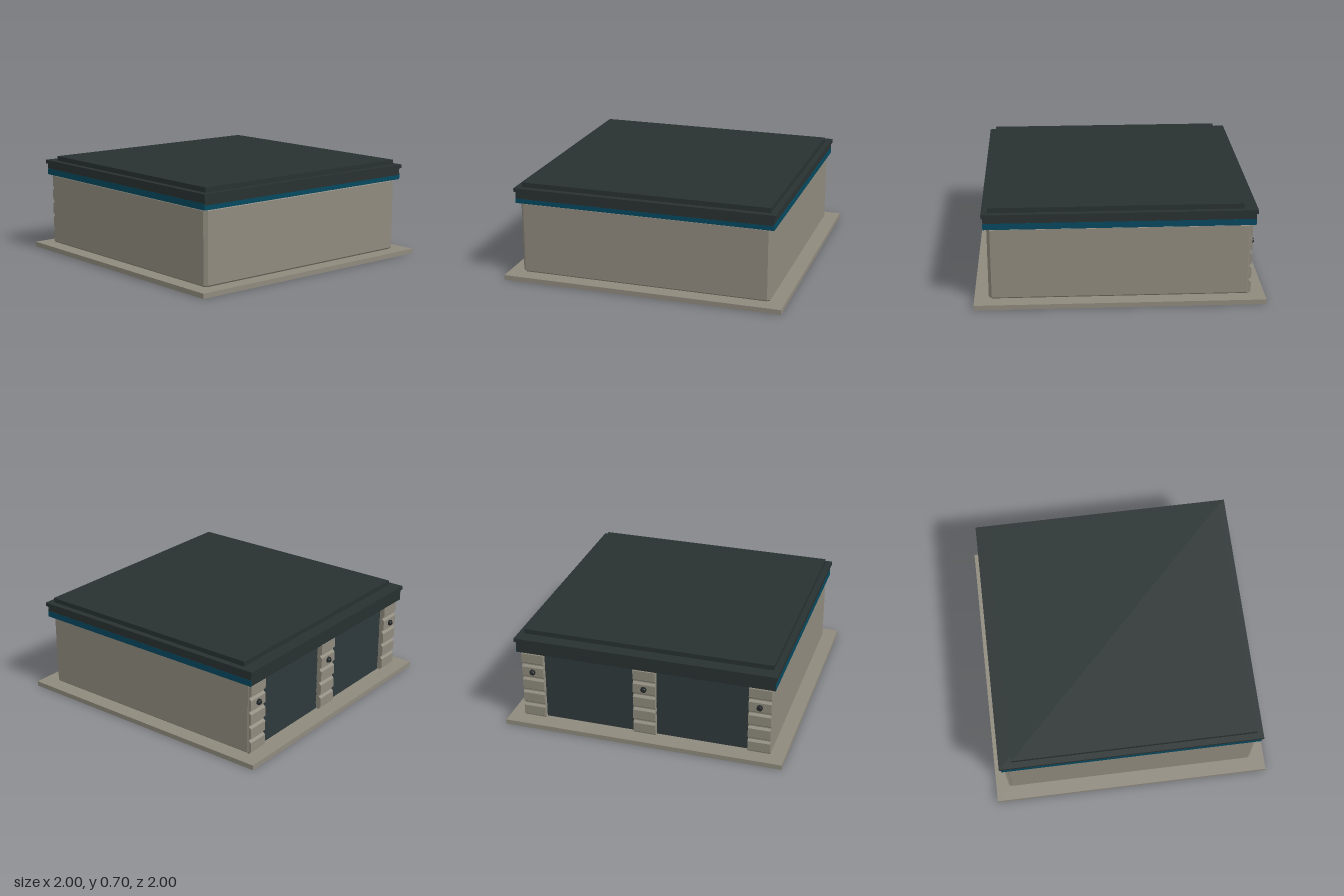
import * as THREE from 'three';

function flat(name, color) {
  const material = new THREE.MeshStandardMaterial({ color });
  material.name = name;
  return material;
}
const stone = flat('stone', 0x8f8a7d);
const roofDark = flat('dark roof', 0x283130);
const doorDark = flat('dark shutter', 0x2c3739);
const blue = flat('blue stripe', 0x04485f);
const lampDark = flat('lamp metal', 0x25292a);

function add(parent, name, geometry, material, x = 0, y = 0, z = 0) {
  const mesh = new THREE.Mesh(geometry, material);
  mesh.name = name;
  mesh.position.set(x, y, z);
  parent.add(mesh);
  return mesh;
}

// Box given by its limits on each axis
function boxBetween(parent, name, material, [x0, x1], [y0, y1], [z0, z1]) {
  return add(parent, name, new THREE.BoxGeometry(x1 - x0, y1 - y0, z1 - z0), material,
    (x0 + x1) / 2, (y0 + y1) / 2, (z0 + z1) / 2);
}

const shapeOf = (points) => new THREE.Shape(points.map(([x, y]) => new THREE.Vector2(x, y)));

const FLOOR = 0.035, EAVES = 0.557, HEIGHT = EAVES - FLOOR;
const FRONT = -0.888, RECESS = -0.86;      // pillar face and door plane on the -x side
const DOOR_IN = 0.08, DOOR_OUT = 0.738;    // z limits of each doorway

// Wall footprint with cut corners and two door recesses, bevelled at top and bottom
function wallGeometry() {
  const b = 0.012, c = 0.014, e = 0.9 - b, f = FRONT + b, r = RECESS + b;
  const half = [[f, DOOR_IN - b], [r, DOOR_IN - b], [r, DOOR_OUT + b], [f, DOOR_OUT + b],
    [f, e - 0.002], [f + 0.002, e], [e - c, e], [e, e - c]];
  const mirrored = half.map(([x, z]) => [x, -z]).reverse();
  const g = new THREE.ExtrudeGeometry(shapeOf([...half, ...mirrored]), {
    depth: HEIGHT - 2 * b, bevelEnabled: true, bevelSize: b, bevelThickness: b, bevelSegments: 1,
  });
  g.rotateX(-Math.PI / 2);
  g.translate(0, b, 0);
  return g;
}

// Stacked, bevelled stone courses as one side profile, swept along z
function coursesGeometry(width, count) {
  const h = HEIGHT / count, out = -0.904;
  const points = [[FRONT + 0.01, HEIGHT], [FRONT + 0.01, 0]];
  for (let i = 0; i < count; i++) {
    const y = i * h;
    points.push([FRONT, y], [FRONT, y + 0.004], [out, y + 0.018],
      [out, y + h - 0.018], [FRONT, y + h - 0.004]);
  }
  points.push([FRONT, HEIGHT]);
  const g = new THREE.ExtrudeGeometry(shapeOf(points), { depth: width, bevelEnabled: false });
  g.translate(0, 0, -width / 2);
  return g;
}

export function createModel() {
  const model = new THREE.Group();
  model.name = 'garage';

  // Ground slab and main walls
  boxBetween(model, 'slab', stone, [-1, 1], [0, FLOOR], [-1, 1]);
  add(model, 'walls', wallGeometry(), stone, 0, FLOOR, 0);

  // Stone courses on the three pillars of the door side, each with a lamp
  const outerWidth = 0.896 - DOOR_OUT;
  for (const [z, width] of [[-0.817, outerWidth], [0, 2 * DOOR_IN], [0.817, outerWidth]]) {
    const pillar = new THREE.Group();
    pillar.name = 'pillar';
    pillar.position.z = z;
    model.add(pillar);
    add(pillar, 'stoneCourses', coursesGeometry(width, 5), stone, 0, FLOOR, 0);
    const lampY = FLOOR + 0.7 * HEIGHT;
    add(pillar, 'lampBase', new THREE.CylinderGeometry(0.022, 0.022, 0.014, 8), lampDark,
      -0.909, lampY, 0).rotation.z = Math.PI / 2;
    add(pillar, 'lampHead', new THREE.CylinderGeometry(0.014, 0.018, 0.01, 8), lampDark,
      -0.92, lampY, 0).rotation.z = Math.PI / 2;
  }

  // Two roller shutters with sloping slats
  const slats = 10, slatHeight = HEIGHT / slats;
  for (const side of [-1, 1]) {
    const door = new THREE.Group();
    door.name = 'door';
    door.position.z = side * (DOOR_IN + DOOR_OUT) / 2;
    model.add(door);
    const width = DOOR_OUT - DOOR_IN;
    boxBetween(door, 'doorPanel', doorDark, [RECESS - 0.003, RECESS + 0.02], [FLOOR, EAVES],
      [-width / 2, width / 2]);
    for (let i = 0; i < slats; i++) {
      const slat = add(door, 'slat', new THREE.BoxGeometry(0.008, slatHeight * 0.92, width),
        doorDark, RECESS - 0.002, FLOOR + (i + 0.5) * slatHeight, 0);
      slat.rotation.z = -0.1;
    }
  }

  // Stepped roof, with the top step set back above the doors
  boxBetween(model, 'fascia', roofDark, [-0.922, 0.922], [EAVES, 0.638], [-0.922, 0.922]);
  boxBetween(model, 'roofLip', roofDark, [-0.933, 0.933], [0.638, 0.665], [-0.933, 0.933]);
  boxBetween(model, 'roofTop', roofDark, [-0.84, 0.889], [0.665, 0.699], [-0.89, 0.89]);

  // Blue stripe round the three closed sides
  for (const side of [-1, 1]) {
    boxBetween(model, 'stripe', blue, [-0.922, 0.923], [EAVES - 0.001, 0.6],
      [side * 0.922 - 0.0015, side * 0.922 + 0.0015]);
  }
  boxBetween(model, 'sideStripe', blue, [0.921, 0.9237], [EAVES - 0.001, 0.588], [-0.922, 0.922]);

  return model;
}
